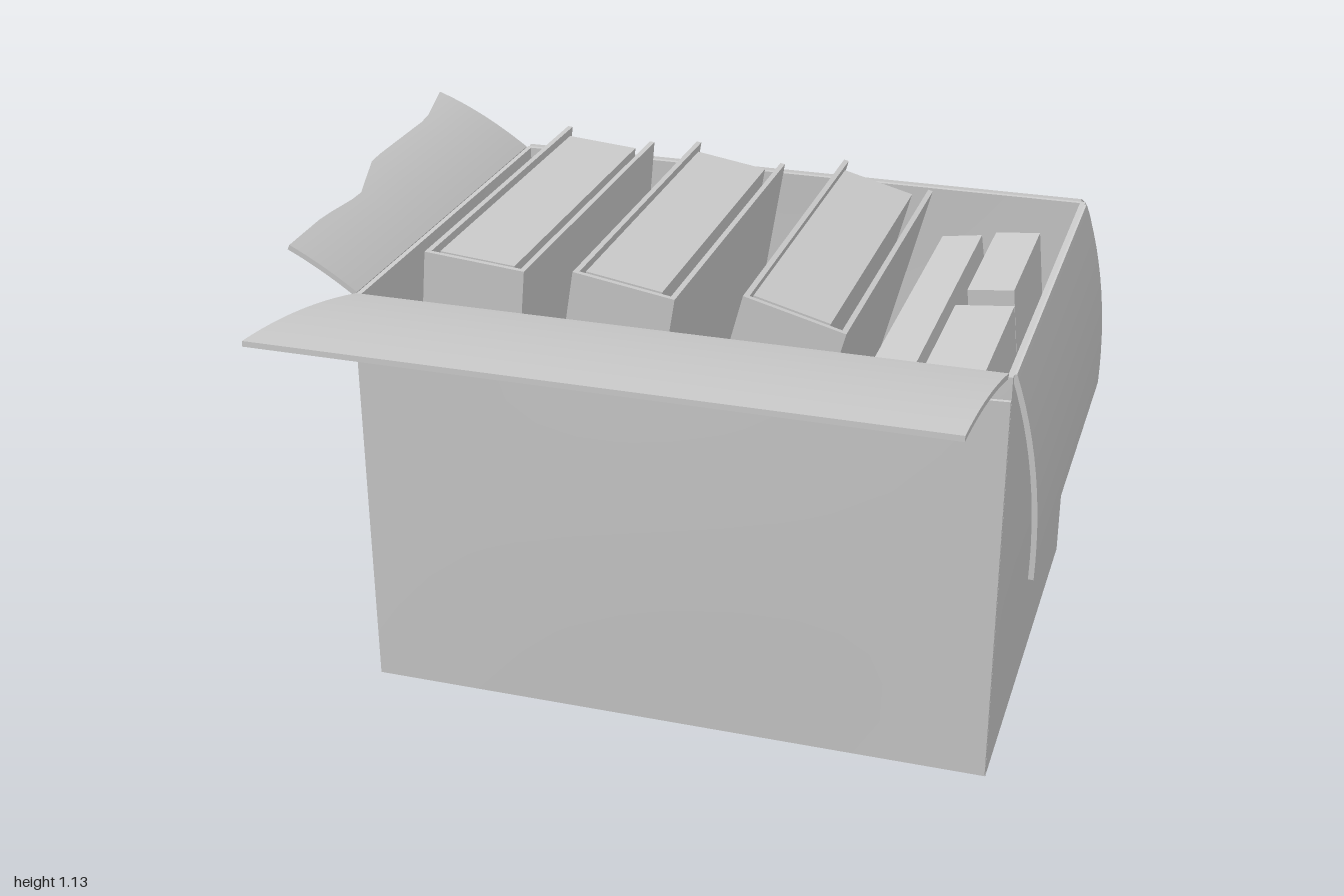
import * as THREE from 'three';

const card = new THREE.MeshStandardMaterial({ color: 0xcccccc, side: THREE.DoubleSide });
card.name = 'lightGrey';

function add(parent, name, geometry) {
  const mesh = new THREE.Mesh(geometry, card);
  mesh.name = name;
  parent.add(mesh);
  return mesh;
}

// Box given by its lower and upper corners
function block(parent, name, [x0, y0, z0], [x1, y1, z1]) {
  const g = new THREE.BoxGeometry(x1 - x0, y1 - y0, z1 - z0);
  g.translate((x0 + x1) / 2, (y0 + y1) / 2, (z0 + z1) / 2);
  return add(parent, name, g);
}

// Moves every vertex of a unit box by a rule
function panel(parent, name, [nx, ny, nz], rule) {
  const g = new THREE.BoxGeometry(1, 1, 1, nx, ny, nz);
  const p = g.attributes.position;
  for (let i = 0; i < p.count; i++) p.setXYZ(i, ...rule(p.getX(i), p.getY(i), p.getZ(i)));
  g.computeVertexNormals();
  return add(parent, name, g);
}

// Curved flap: the profile passes three points [outward, y]; reach trims the far edge
function flap(parent, name, a, m, b, from, to, place, reach = () => 1) {
  const c = [0, 1].map(i => 2 * m[i] - (a[i] + b[i]) / 2);
  const curve = new THREE.QuadraticBezierCurve(
    new THREE.Vector2(...a), new THREE.Vector2(...c), new THREE.Vector2(...b));
  panel(parent, name, [12, 1, 20], (x, y, z) => {
    const s = (x + 0.5) * reach(z + 0.5);
    const p = curve.getPoint(s), t = curve.getTangent(s);
    return place(p.x - t.y * y * 0.012, p.y + t.x * y * 0.012, from + (to - from) * (z + 0.5));
  });
}

// Ring binder leaning to its left, pivoting on its lower left edge
function binder(parent, name, x, y, angle) {
  const g = new THREE.Group();
  g.name = name;
  g.position.set(x, y, 0);
  g.rotation.z = -angle;
  const w = 0.235, h = 1.04, t = 0.012;
  block(g, 'rightCover', [-w, 0, -0.52], [-w + t, h, 0.4]);
  block(g, 'leftCover', [-t, 0, -0.52], [0, h, 0.4]);
  block(g, 'spine', [-w, 0, 0.39], [0, h, 0.402]);
  block(g, 'pages', [-w + t, 0.03, -0.505], [-0.045, h - 0.02, 0.34]);
  const ring = add(g, 'spineRing', new THREE.TorusGeometry(0.03, 0.006, 6, 20));
  ring.position.set(-w / 2, 0.3, 0.405);
  parent.add(g);
}

// Solid leaning to its right, pivoting on its lower right edge
function book(parent, name, x, y, angle, w, h, z0, z1) {
  const m = block(parent, name, [0, 0, z0], [w, h, z1]);
  m.position.set(x, y, 0);
  m.rotation.z = angle;
}

// Thin flat plate cut from an outline in x and y
function plate(parent, name, points, z, depth) {
  const shape = new THREE.Shape(points.map(p => new THREE.Vector2(...p)));
  add(parent, name, new THREE.ExtrudeGeometry(shape, { depth, bevelEnabled: false })).position.z = z;
}

export function createModel() {
  const model = new THREE.Group();
  model.name = 'openCarton';
  const X0 = -0.65, X1 = 0.815, Y0 = 0.022, Y1 = 1.0, Z0 = -0.58, Z1 = 0.495;
  const bulge = (a, b) => Math.cos(Math.PI * a) * Math.cos(Math.PI * b);
  const lerp = (a, b, t) => a + (b - a) * (t + 0.5);

  // Carton walls, gently bulging outwards
  const walls = new THREE.Group();
  walls.name = 'carton';
  model.add(walls);
  block(walls, 'floor', [X0, Y0, Z0], [X1, Y0 + 0.012, Z1]);
  for (const [name, z, out] of [['frontWall', Z1 - 0.006, 0.008], ['backWall', Z0 + 0.006, -0.01]])
    panel(walls, name, [12, 10, 1], (x, y, w) =>
      [lerp(X0, X1, x), lerp(Y0, Y1, y), z + w * 0.012 + out * bulge(x, y)]);
  for (const [name, x, out] of [['rightWall', X0 + 0.006, -0.02], ['leftWall', X1 - 0.006, 0.017]])
    panel(walls, name, [1, 10, 12], (w, y, z) =>
      [x + w * 0.012 + out * bulge(y, z), lerp(Y0, Y1, y), lerp(Z0, Z1, z)]);

  // Loose glued strips at the corners
  plate(walls, 'frontCornerStrip', [[0.57, 0.94], [0.72, 0.89], [0.75, 0.67], [0.77, 0.41],
    [0.79, 0.03], [0.815, 0.03], [0.815, 0.95]], Z1 + 0.002, 0.009);
  plate(walls, 'backCornerStrip', [[0.755, 0.62], [0.735, 0.4], [0.73, 0.04], [0.765, 0.04]], Z0 - 0.018, 0.016);

  // Four open flaps
  const along = (o, y, v) => [v, y, o];
  const across = (o, y, v) => [o, y, v];
  flap(model, 'frontFlap', [0.49, 1], [0.75, 1.066], [0.998, 1.1], -0.645, 0.805, along);
  flap(model, 'backFlap', [-0.58, 1], [-0.8, 0.88], [-0.998, 0.71], -0.645, 0.805, along);
  flap(model, 'leftFlap', [0.815, 1], [0.868, 0.78], [0.88, 0.53], -0.56, 0.48, across);
  const torn = [[0, 1], [0.17, 0.84], [0.49, 0.83], [0.66, 0.62], [0.83, 0.67], [1, 0.65]];
  flap(model, 'rightTornFlap', [-0.65, 1], [-0.77, 1.075], [-0.888, 1.127], -0.56, 0.48, across, v => {
    const i = Math.min(torn.findIndex(p => v <= p[0] + 1e-6) || 1, torn.length - 1);
    const [a, ra] = torn[i - 1], [b, rb] = torn[i];
    return ra + (rb - ra) * (v - a) / (b - a);
  });

  // Three leaning binders
  binder(model, 'binderRight', -0.37, 0.03, 0.087);
  binder(model, 'binderMiddle', -0.1, 0.015, 0.16);
  binder(model, 'binderLeft', 0.18, 0.004, 0.258);

  // Books leaning the other way
  book(model, 'wideBook', 0.595, 0.015, 0.14, 0.1, 0.88, -0.54, 0.44);
  book(model, 'frontBook', 0.66, 0.026, 0.1, 0.14, 0.84, -0.17, 0.475);
  book(model, 'backBook', 0.69, 0.026, 0.1, 0.11, 0.88, -0.565, -0.175);
  return model;
}
